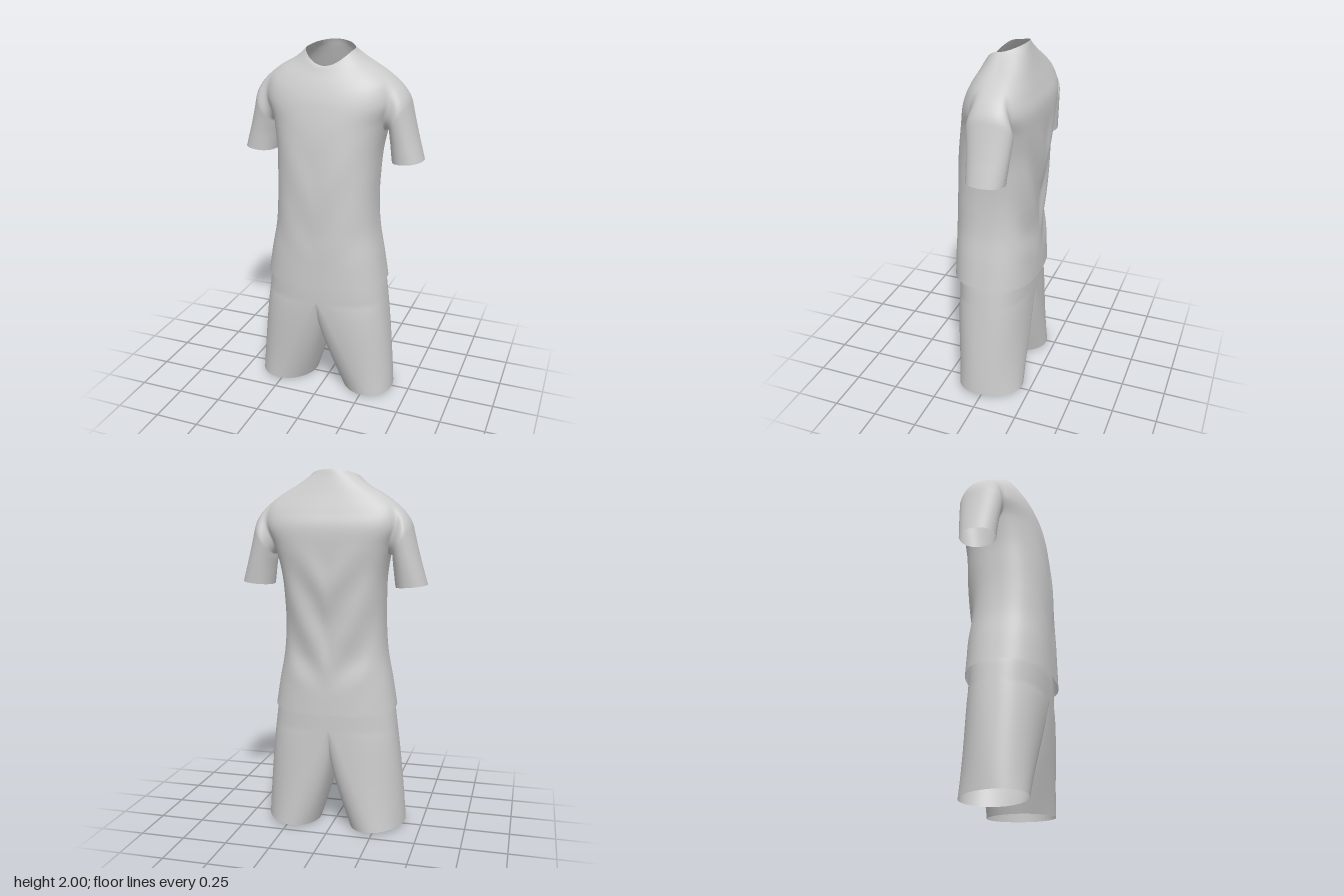
import * as THREE from 'three';
import { mergeGeometries, mergeVertices } from 'three/addons/utils/BufferGeometryUtils.js';

const lerp = THREE.MathUtils.lerp;
const smooth = THREE.MathUtils.smoothstep;
const spow = (v, e) => Math.sign(v) * Math.pow(Math.abs(v), e);

// Smoothly interpolated row of a section table, t from 0 to 1
function sample(rows, t) {
  const n = rows.length - 1;
  const i = Math.max(0, Math.min(Math.floor(t * n), n - 1)), f = t * n - i;
  const at = k => rows[Math.max(0, Math.min(n, k))];
  return rows[0].map((_, c) => {
    const a = at(i - 1)[c], b = at(i)[c], d = at(i + 1)[c], e = at(i + 2)[c];
    return b + 0.5 * f * (d - a + f * (2 * a - 5 * b + 4 * d - e + f * (3 * (b - d) + e - a)));
  });
}

// Closed rings stacked from bottom to top; fn(angle, v) gives [x, y, z], hole(angle, v) cuts faces
function loft(nu, nv, fn, { mirror = false, hole = () => false } = {}) {
  const pos = [], index = [], open = [];
  for (let j = 0; j <= nv; j++) {
    for (let i = 0; i < nu; i++) {
      const angle = (i / nu) * Math.PI * 2;
      const [x, y, z] = fn(angle, j / nv);
      pos.push(mirror ? -x : x, y, z);
      open.push(hole(angle, j / nv));
    }
  }
  for (let j = 0; j < nv; j++) {
    for (let i = 0; i < nu; i++) {
      const k = (i + 1) % nu;
      const a = j * nu + i, b = a + nu, c = j * nu + k, d = c + nu;
      if (open[a] && open[b] && open[c] && open[d]) continue;
      if (mirror) index.push(a, c, b, b, c, d);
      else index.push(a, b, c, b, d, c);
    }
  }
  const g = new THREE.BufferGeometry();
  g.setAttribute('position', new THREE.Float32BufferAttribute(pos, 3));
  g.setIndex(index);
  g.computeVertexNormals();
  return g;
}

// Shirt body: half width, side y, side z, front y, front z, back y, back z, front and back roundness
const BODY = [
  [0.345, 0.70, 0.00, 0.69, 0.245, 0.68, -0.224, 0.78, 0.82],
  [0.320, 0.85, 0.00, 0.85, 0.243, 0.85, -0.217, 0.78, 0.82],
  [0.292, 1.00, 0.00, 1.00, 0.240, 1.00, -0.205, 0.80, 0.80],
  [0.280, 1.15, 0.00, 1.15, 0.238, 1.15, -0.213, 0.80, 0.78],
  [0.280, 1.30, -0.01, 1.30, 0.232, 1.30, -0.226, 0.80, 0.75],
  [0.289, 1.45, -0.03, 1.45, 0.220, 1.45, -0.236, 0.80, 0.70],
  [0.322, 1.60, -0.055, 1.58, 0.203, 1.59, -0.240, 0.84, 0.65],
  [0.368, 1.71, -0.065, 1.68, 0.182, 1.70, -0.236, 0.87, 0.65],
  [0.352, 1.805, -0.065, 1.74, 0.164, 1.78, -0.210, 0.90, 0.65],
  [0.292, 1.862, -0.06, 1.80, 0.138, 1.87, -0.175, 0.90, 0.75],
  [0.205, 1.910, -0.04, 1.855, 0.108, 1.95, -0.147, 0.95, 0.90],
  [0.157, 1.945, -0.025, 1.882, 0.094, 1.985, -0.136, 1.00, 1.00],
  [0.134, 1.968, -0.02, 1.89, 0.085, 2.00, -0.130, 1.00, 1.00],
];

function bodyPoint(a, v) {
  const [hw, ys, zs, yf, zf, yb, zb, ef, eb] = sample(BODY, v);
  const s = Math.sin(a), front = s >= 0, e = front ? ef : eb;
  const x = hw * spow(Math.cos(a), e);
  const y = front ? lerp(ys, yf, s * s) : lerp(ys, yb, Math.pow(-s, 1.4));
  let z = lerp(zs, front ? zf : zb, Math.pow(Math.abs(s), e));
  // soft draping folds, strongest on the lower back
  const band = smooth(y, 0.78, 1.0) * (1 - smooth(y, 1.35, 1.65));
  z += Math.sin(26 * Math.abs(x) - 15 * y) * s * s * band * (front ? 0.002 : 0.009);
  return [x, y, z];
}

// Armhole: an oval on each side of the shirt body
const HOLE = { angle: 0.5, v: 0.61, height: 0.14 };
const inArmhole = (a, v) =>
  Math.hypot(Math.asin(Math.abs(Math.sin(a))) / HOLE.angle, (v - HOLE.v) / HOLE.height) < 1;
const armholePoint = (a, scale) => new THREE.Vector3(...bodyPoint(
  HOLE.angle * scale * Math.sin(a), HOLE.v + HOLE.height * scale * Math.cos(a)));

// Lower sleeve rings: inner x, inner y, outer x, outer y, front z, back z
const SLEEVE = [
  [0.345, 1.380, 0.516, 1.396, 0.040, -0.165],
  [0.339, 1.430, 0.501, 1.448, 0.042, -0.170],
  [0.334, 1.480, 0.480, 1.520, 0.045, -0.176],
  [0.330, 1.520, 0.456, 1.610, 0.051, -0.182],
  [0.330, 1.545, 0.434, 1.700, 0.058, -0.187],
];

function cuffPoint(a, t) {
  const [xi, yi, xo, yo, zf, zb] = sample(SLEEVE, t);
  const across = 0.5 + 0.5 * spow(Math.cos(a), 0.92);
  return new THREE.Vector3(
    lerp(xi, xo, across),
    lerp(yi, yo, across),
    (zf + zb) / 2 + ((zf - zb) / 2) * spow(Math.sin(a), 0.92),
  );
}

// Lower sleeve, then a shoulder that flows tangentially into the armhole
function sleevePoint(a, v) {
  if (v <= 0.5) return cuffPoint(a, v * 2).toArray();
  const start = cuffPoint(a, 1), end = armholePoint(a, 1);
  const reach = start.distanceTo(end) / 3;
  const leave = start.clone().sub(cuffPoint(a, 0.9)).setLength(reach).add(start);
  const arrive = end.clone().sub(armholePoint(a, 1.05)).setLength(reach).add(end);
  return new THREE.CubicBezierCurve3(start, leave, arrive, end).getPoint(v * 2 - 1).toArray();
}

// Shorts: outer half width and depth by height
const FORK = 0.58;
const outerX = y => 0.406 - 0.083 * Math.pow(y / 0.8, 1.3);
const depth = (y, s) => s >= 0
  ? 0.163 + 0.054 * smooth(y, -0.15, 0.65)
  : 0.198;

function legPoint(a, v) {
  const c = Math.cos(a), s = Math.sin(a);
  const inner = c < -1e-6;
  // inner columns stop at the crotch saddle, outer ones at the hips
  const top = inner ? 0.375 + (FORK - 0.375) * Math.pow(Math.abs(s), 5) : FORK;
  const y = lerp(0.008 + 0.008 * c, top, v);
  // round at the hem, squarer at the hips
  const e = lerp(1.02, 0.8, smooth(y, 0, FORK));
  const z = depth(y, s) * spow(s, e) + 0.025 * c * (1 - v);
  const mid = 0.25 * Math.pow(1 - v, 0.8);
  if (!inner) return [mid + (outerX(y) - mid) * spow(Math.max(c, 0), e), y, z];
  const reach = Math.pow(-c, e);
  return [lerp(0.25, 0.092, reach) * Math.pow(1 - v, lerp(0.8, 1.4, reach)), y, z];
}

function hipPoint(a, v) {
  const y = lerp(FORK, 0.86, v), s = Math.sin(a);
  const tuck = 1 - 0.06 * smooth(y, 0.68, 0.86);
  return [
    outerX(y) * tuck * spow(Math.cos(a), 0.8),
    y,
    depth(y, s) * tuck * spow(s, 0.8),
  ];
}

export function createModel() {
  const fabric = new THREE.MeshStandardMaterial({ color: 0xcccccc, side: THREE.DoubleSide });
  fabric.name = 'light grey fabric';
  const model = new THREE.Group();
  model.name = 'shirtAndShorts';
  const add = (name, geometry) => {
    const mesh = new THREE.Mesh(geometry, fabric);
    mesh.name = name;
    model.add(mesh);
  };

  // Shirt
  add('shirtBody', loft(160, 120, bodyPoint, { hole: inArmhole }));
  add('leftSleeve', loft(64, 40, sleevePoint));
  add('rightSleeve', loft(64, 40, sleevePoint, { mirror: true }));

  // Shorts: two legs and hips welded into one smooth surface
  const pieces = [loft(96, 40, legPoint), loft(96, 40, legPoint, { mirror: true }), loft(96, 14, hipPoint)];
  pieces.forEach(g => g.deleteAttribute('normal'));
  const shorts = mergeVertices(mergeGeometries(pieces), 1e-4);
  shorts.computeVertexNormals();
  add('shorts', shorts);
  return model;
}
